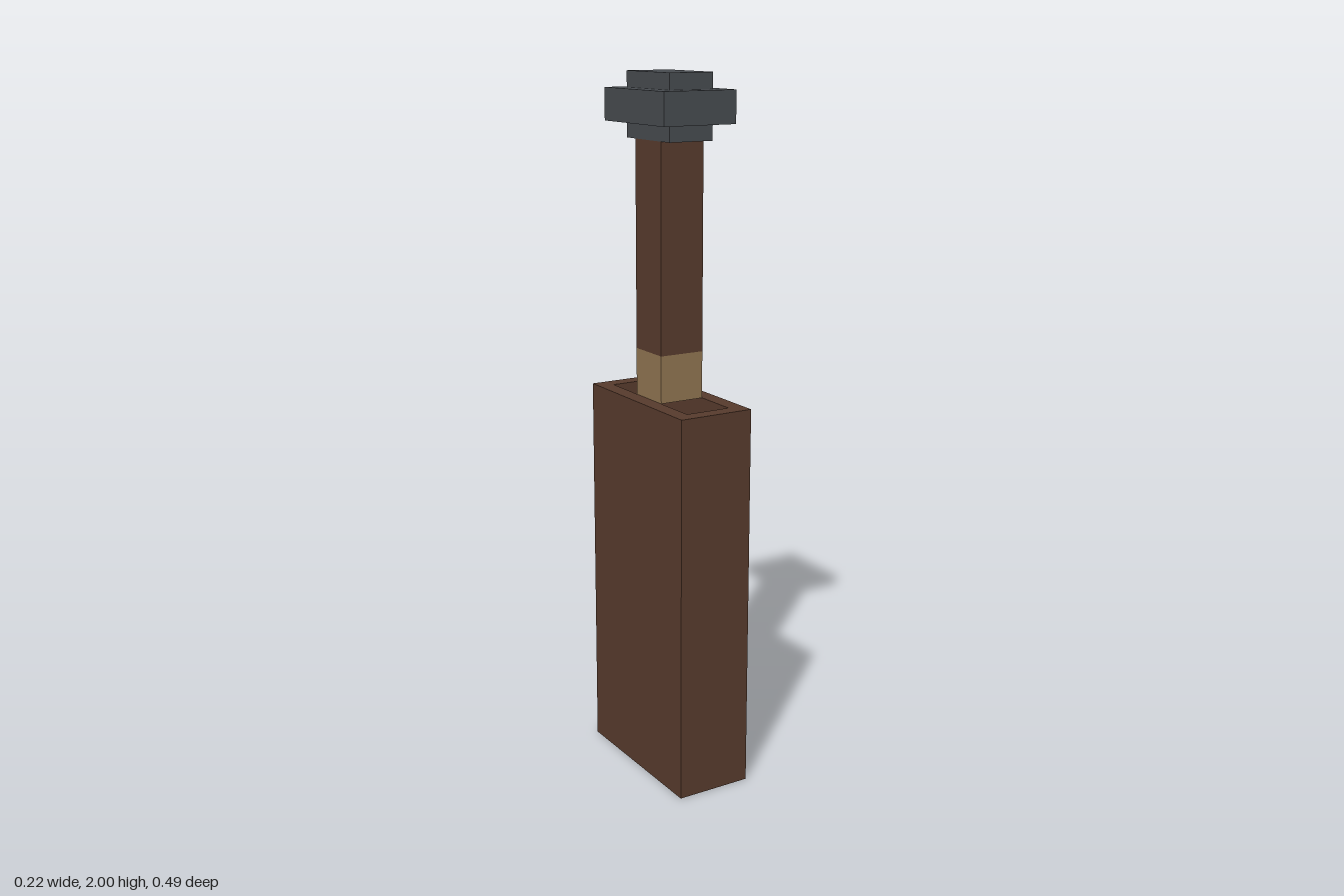
import * as THREE from 'three';

const brown = new THREE.MeshStandardMaterial({ color: 0x563a2c });
brown.name = 'dark brown leather';
const tan = new THREE.MeshStandardMaterial({ color: 0x8e7350 });
tan.name = 'tan wrap';
const grey = new THREE.MeshStandardMaterial({ color: 0x464a4e });
grey.name = 'dark grey metal';

const U = 1 / 45; // block unit

// Box centred on the vertical axis, given in block units
function block(name, width, depth, bottom, top, material) {
  const geometry = new THREE.BoxGeometry(width * U, (top - bottom) * U, depth * U);
  const mesh = new THREE.Mesh(geometry, material);
  mesh.name = name;
  mesh.position.y = ((top + bottom) / 2) * U;
  return mesh;
}

function rectangle(PathType, width, depth) {
  const x = (width * U) / 2, y = (depth * U) / 2;
  return new PathType([[-x, -y], [x, -y], [x, y], [-x, y]].map(([a, b]) => new THREE.Vector2(a, b)));
}

// Hollow sleeve, open at both ends
function createSleeve() {
  const outline = rectangle(THREE.Shape, 10, 22);
  outline.holes.push(rectangle(THREE.Path, 6, 18));
  const geometry = new THREE.ExtrudeGeometry(outline, { depth: 50 * U, bevelEnabled: false });
  geometry.rotateX(-Math.PI / 2);
  const mesh = new THREE.Mesh(geometry, brown);
  mesh.name = 'sleeve';
  return mesh;
}

export function createModel() {
  const model = new THREE.Group();
  model.name = 'sheathed hilt';
  model.add(createSleeve());

  // Hilt: pale collar below a dark grip
  model.add(block('collar', 6, 6, 50, 56, tan));
  model.add(block('grip', 6, 6, 56, 82, brown));

  // Stepped pommel
  const pommel = new THREE.Group();
  pommel.name = 'pommel';
  pommel.add(block('pommelBase', 6, 10, 82, 84, grey));
  pommel.add(block('pommelBody', 10, 14, 84, 88, grey));
  pommel.add(block('pommelCap', 6, 10, 88, 90, grey));
  model.add(pommel);
  return model;
}
